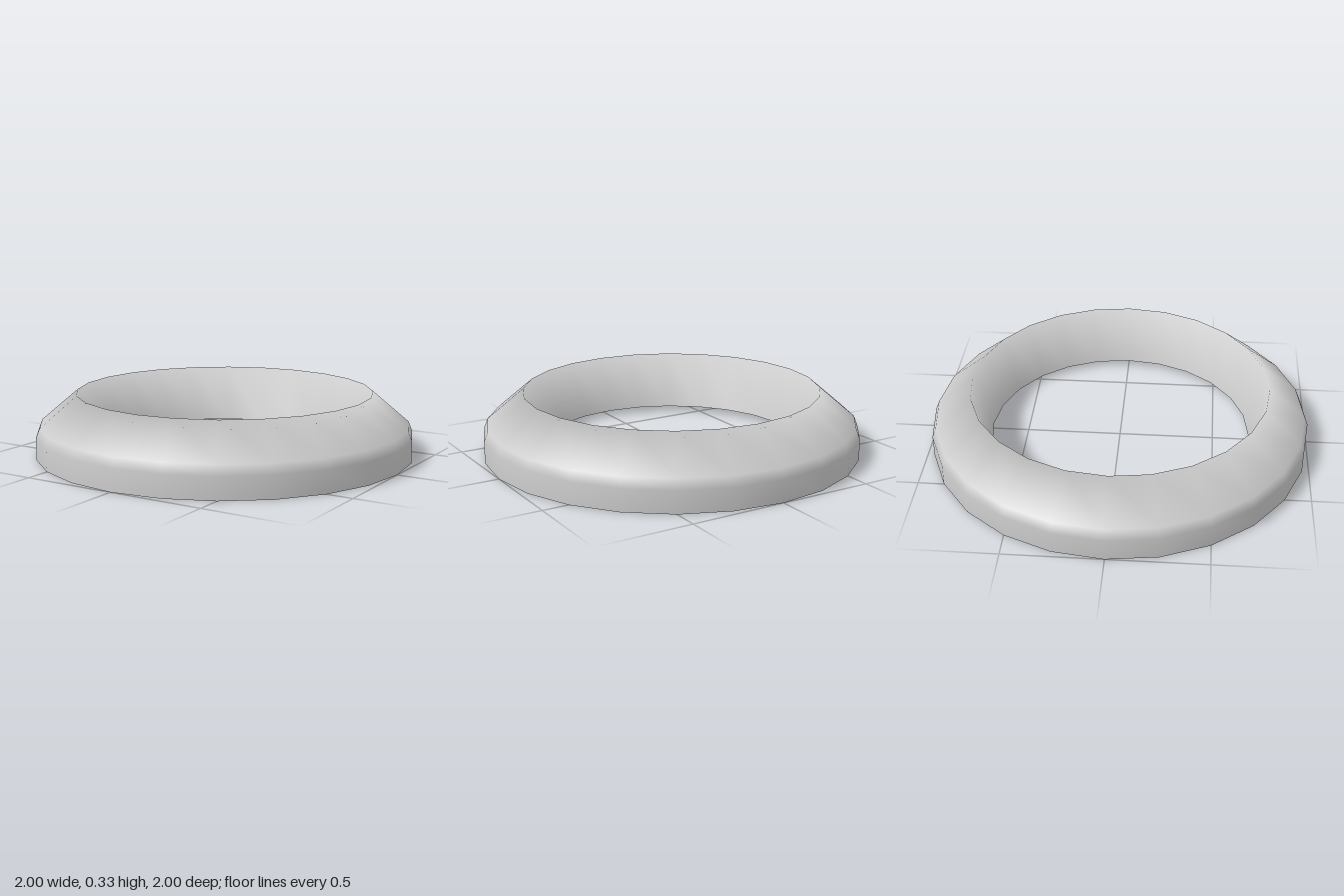
import * as THREE from 'three';

export function createModel() {
  const group = new THREE.Group();
  group.name = 'ringCover';

  // Cross-section: outer wall, bevel, sloped shoulder, crest, inner wall; open underneath
  const profile = [
    [1, 0],
    [1, 0.115],
    [0.98, 0.165],
    [0.785, 0.33],
    [0.69, 0.03],
  ].map(([r, y]) => new THREE.Vector2(r, y));

  const ring = new THREE.Mesh(
    new THREE.LatheGeometry(profile, 24),
    new THREE.MeshStandardMaterial({ color: 0xcccccc, side: THREE.DoubleSide })
  );
  ring.name = 'ringShell';
  group.add(ring);
  return group;
}
